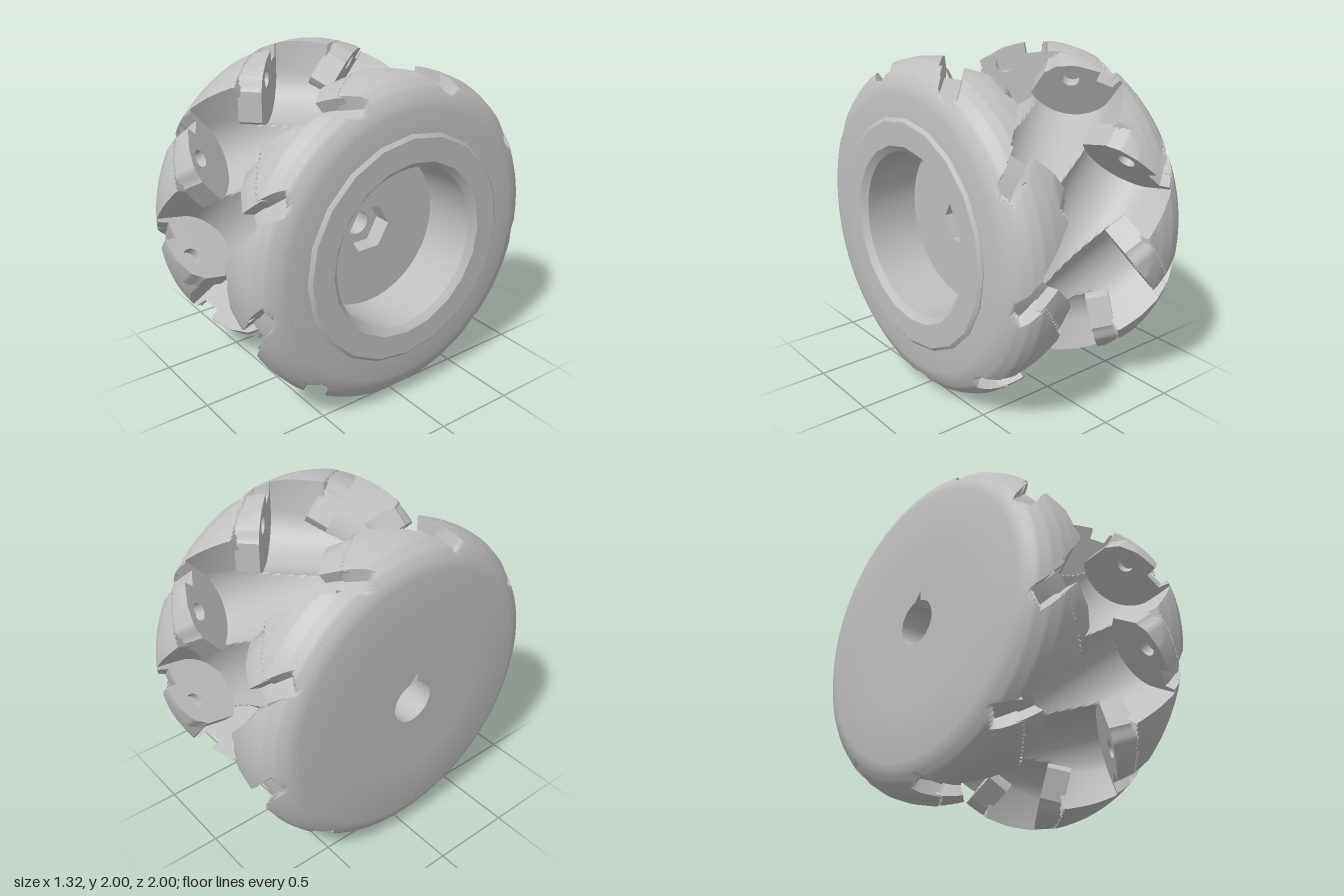
import * as THREE from 'three';
import { toCreasedNormals } from 'three/addons/utils/BufferGeometryUtils.js';

const N = 9;                      // roller pockets around the wheel
const STEP = (Math.PI * 2) / N;
const MID = Math.PI / 18;         // angle of the first pocket
const AXIS = 0.836;               // pocket axis distance from wheel centre
const PR = 0.27;                  // pocket radius
const T = 0.435;                  // half length of a pocket
const Q = Math.SQRT1_2;

// rim profile as [x, radius]
const PROFILE = [
  [-0.66, 0.82], [-0.645, 0.87], [-0.61, 0.925], [-0.55, 0.97], [-0.48, 0.995], [-0.4, 1], [-0.3, 0.99],
  [-0.23, 0.95], [-0.205, 0.89], [-0.2, 0.75], [0, 0.7], [0.2, 0.75], [0.205, 0.89],
  [0.23, 0.95], [0.3, 0.99], [0.4, 1], [0.48, 0.995], [0.54, 0.97], [0.59, 0.925], [0.62, 0.87], [0.635, 0.82],
];

function rimRadius(x) {
  for (let i = 1; i < PROFILE.length; i++) {
    const [x0, r0] = PROFILE[i - 1], [x1, r1] = PROFILE[i];
    if (x <= x1) return r0 + ((r1 - r0) * (x - x0)) / (x1 - x0);
  }
  return 0.82;
}

// radius of the round pocket floor at angle d from the pocket middle
function pocketRadius(x, d) {
  const s = Math.sin(d), c = Math.cos(d);
  if (Math.abs(d) > 1.1 || Math.abs(x + 0.75 * s) * Q > T + 0.05) return 2;
  const a = s * s / 2 + c * c, b = x * s + 2 * c * AXIS, e = x * x / 2 + AXIS * AXIS - PR * PR;
  const disc = b * b - 4 * a * e;
  return disc > 0 ? (b - Math.sqrt(disc)) / (2 * a) : 2;
}

// radius limit of the flat notch beside a pocket end, with ramped ends
function notchRadius(t, v) {
  if (v < 0.13 || v > 0.235) return 2;
  const outside = Math.max(0, T - t, t - 0.66);
  return 0.93 - 0.15 * (t - T) + outside * 2;
}

// radius of the body after cutting pockets and notches
function bodyRadius(x, angle) {
  let r = rimRadius(x);
  for (let k = 0; k < N; k++) {
    let d = angle - MID - k * STEP;
    d -= Math.round(d / (2 * Math.PI)) * 2 * Math.PI;
    if (Math.abs(d) > 1.1) continue;
    const s = 0.95 * Math.sin(d), q = Math.sign(x + s);
    r = Math.min(r, pocketRadius(x, d), notchRadius(q * (x + s) * Q, q * (x - s) * Q));
  }
  return r;
}

// body skin on a grid sheared along the pockets, closed by a flat ring at each side
function bodyGeometry() {
  const xs = [-0.205, -0.2, 0.2, 0.205];
  for (let i = 0; i <= 140; i++) xs.push(-0.66 + (1.295 * i) / 140);
  xs.sort((p, q) => p - q);
  const rows = [[-0.66, 0.49], ...xs.map((x) => [x]), [0.635, 0.6]];
  const M = N * 45, pos = [], idx = [];
  rows.forEach(([x, fixed], i) => {
    for (let j = 0; j < M; j++) {
      const th = (j / M) * Math.PI * 2 + x / 0.85, r = fixed ?? bodyRadius(x, th);
      pos.push(x, r * Math.sin(th), r * Math.cos(th));
      if (i === 0) continue;
      const n = (j + 1) % M, a = (i - 1) * M + j, b = i * M + j, c = i * M + n, d = (i - 1) * M + n;
      idx.push(a, b, c, a, c, d);
    }
  });
  const g = new THREE.BufferGeometry();
  g.setAttribute('position', new THREE.Float32BufferAttribute(pos, 3));
  g.setIndex(idx);
  return toCreasedNormals(g, 0.6);
}

function lathe(points, segments) {
  const g = new THREE.LatheGeometry(points.map(([x, r]) => new THREE.Vector2(r, x)), segments);
  return toCreasedNormals(g.rotateZ(-Math.PI / 2), 0.5);
}

// disc with a hole, from x0 to x1 along the wheel axis
function disc(radius, hole, x0, x1) {
  const shape = new THREE.Shape().absarc(0, 0, radius, 0, Math.PI * 2);
  shape.holes.push(hole);
  const g = new THREE.ExtrudeGeometry(shape, { depth: x1 - x0, bevelEnabled: false, curveSegments: 36 });
  g.rotateY(Math.PI / 2).translate(x0, 0, 0);
  return toCreasedNormals(g, 0.5);
}

function roundHole(r) {
  return new THREE.Path().absarc(0, 0, r, 0, Math.PI * 2, true);
}

// height of the body surface over the pocket axis, cut by the next pocket
function blockTop(t, v) {
  const x = (t + v) * Q, s = (t - v) * Q;
  let w = AXIS;
  for (let i = 0; i < 6; i++) {
    const r = Math.min(rimRadius(Math.max(x, 0.207)), notchRadius(t, v), pocketRadius(x, Math.atan2(s, w) - STEP));
    w = (w + Math.sqrt(r * r - s * s)) / 2;
  }
  return w - AXIS;
}

// bearing block with a pin hole, its top following the rim surface
function bearingGeometry() {
  const lower = [], upper = [];
  for (let i = 0; i <= 44; i++) {
    const v = 0.265 - (i / 44) * 0.48;
    const bottom = -Math.sqrt(PR * PR - v * v), top = blockTop(T, v);
    if (top < bottom + 0.005) continue;
    lower.push(new THREE.Vector2(-v, bottom));
    upper.unshift(new THREE.Vector2(-v, top));
  }
  const shape = new THREE.Shape([...lower, ...upper]);
  shape.holes.push(roundHole(0.052));
  const g = new THREE.ExtrudeGeometry(shape, { depth: 0.14, steps: 4, bevelEnabled: false, curveSegments: 16 });
  const p = g.attributes.position;
  for (let i = 0; i < p.count; i++) {
    const z = p.getZ(i);
    p.setY(i, Math.min(p.getY(i), blockTop(T + z, -p.getX(i)) + 0.004 - 0.04 * z));
  }
  return toCreasedNormals(g, 0.5);
}

export function createModel() {
  const metal = new THREE.MeshStandardMaterial({ color: 0xbfbfbf });
  metal.name = 'greyMetal';
  const model = new THREE.Group();
  model.name = 'rollerWheelHub';
  const wheel = new THREE.Group();
  wheel.name = 'wheel';
  wheel.position.y = 1;
  model.add(wheel);
  const add = (name, geometry, parent = wheel) => {
    const mesh = new THREE.Mesh(geometry, metal);
    mesh.name = name;
    parent.add(mesh);
  };

  add('rimBody', bodyGeometry());

  // open side: raised ring and recess
  add('raisedRing', lathe([[0.63, 0.69], [0.64, 0.69], [0.655, 0.67], [0.655, 0.53]], 20));
  add('recessWall', lathe([[0.655, 0.535], [0.62, 0.49], [0.27, 0.49]], 40));

  // hub with hexagonal pocket, bore and keyed rear bore
  const hex = new THREE.Path();
  for (let i = 0; i < 6; i++) {
    const a = (-i * Math.PI) / 3;
    hex[i ? 'lineTo' : 'moveTo'](0.15 * Math.cos(a), 0.15 * Math.sin(a));
  }
  hex.closePath();
  const keyed = new THREE.Path();
  const keyAngle = Math.acos(0.025 / 0.135);
  keyed.moveTo(0.025, 0.195);
  keyed.absarc(0, 0, 0.135, keyAngle, -Math.PI - keyAngle, true);
  keyed.lineTo(-0.025, 0.195);
  keyed.closePath();
  add('recessFloor', disc(0.495, hex, 0.17, 0.28));
  add('hubCore', disc(0.495, roundHole(0.075), 0, 0.17));
  add('hubRear', disc(0.495, keyed, -0.66, 0));

  // bearing blocks with blind pin holes at both ends of every pocket
  const bearing = bearingGeometry();
  const holeFloor = new THREE.CircleGeometry(0.054, 24).rotateX(Math.PI).translate(0, 0, 0.06);
  for (let k = 0; k < N; k++) {
    const m = MID + k * STEP;
    const up = new THREE.Vector3(0, Math.sin(m), Math.cos(m));
    const along = new THREE.Vector3(1, Math.cos(m), -Math.sin(m)).normalize();
    for (const side of [1, -1]) {
      const z = along.clone().multiplyScalar(side);
      const block = new THREE.Group();
      block.name = side > 0 ? 'leftBearing' : 'rightBearing';
      block.quaternion.setFromRotationMatrix(new THREE.Matrix4().makeBasis(up.clone().cross(z), up, z));
      block.position.copy(up).multiplyScalar(AXIS).addScaledVector(z, T);
      add('bearingBlock', bearing, block);
      add('pinHoleFloor', holeFloor, block);
      wheel.add(block);
    }
  }
  return model;
}
